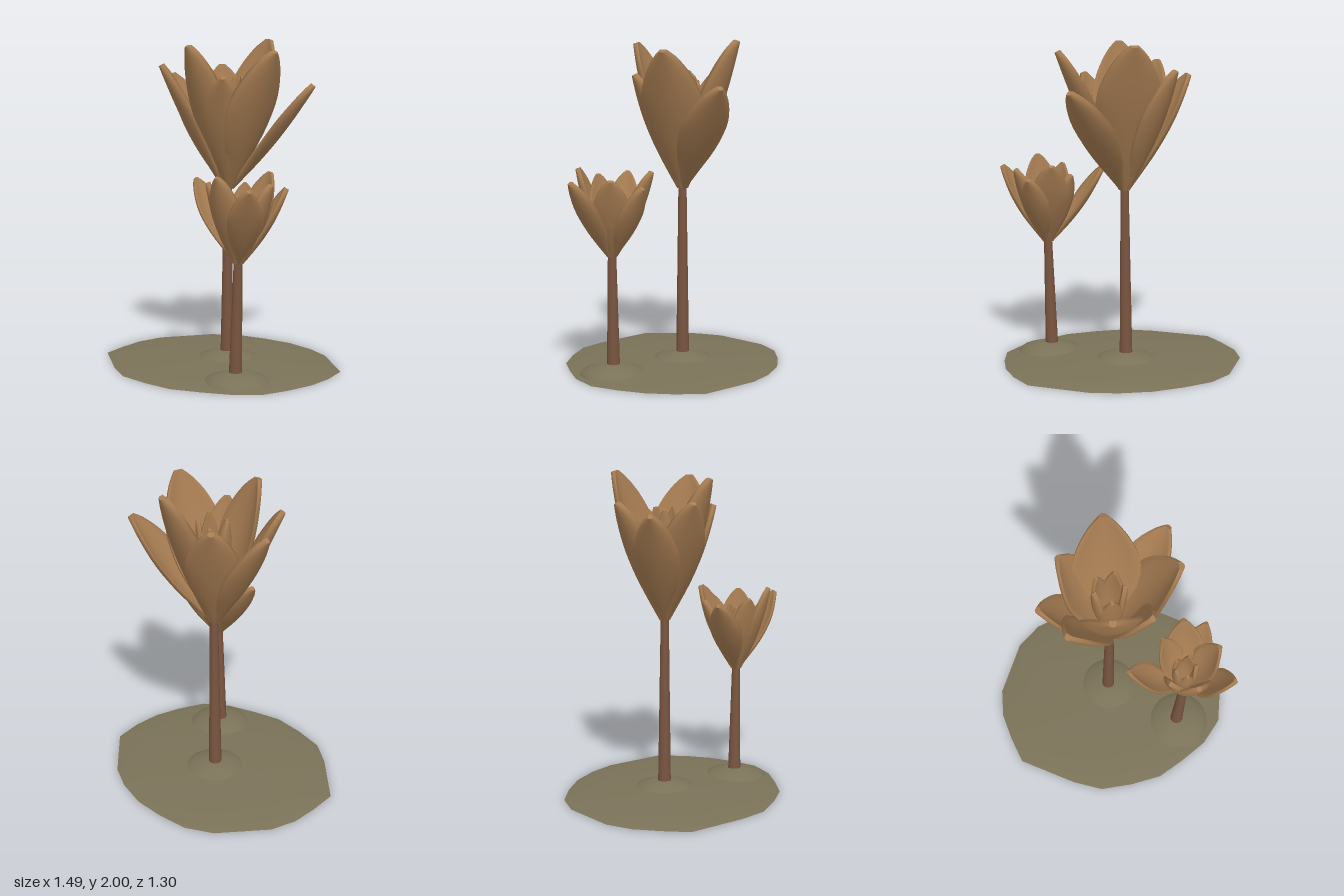
import * as THREE from 'three';

const petalMat = new THREE.MeshStandardMaterial({ name: 'petalTan', color: 0xa67c52 });
const stemMat = new THREE.MeshStandardMaterial({ name: 'stemBrown', color: 0x7a5540 });
const soilMat = new THREE.MeshStandardMaterial({ name: 'soilOlive', color: 0x7a7258 });
const V = (x, y, z) => new THREE.Vector3(x, y, z);

function add(parent, name, geometry, material) {
  const mesh = new THREE.Mesh(geometry, material);
  mesh.name = name;
  parent.add(mesh);
  return mesh;
}

// Skin a list of closed rings; each ring is an array of Vector3. A null leaves a crease.
function loft(rings) {
  const pos = [], index = [], n = rings[0].length;
  let prev = -1;
  for (const ring of rings) {
    if (!ring) { prev = -1; continue; }
    const cur = pos.length / 3;
    ring.forEach(p => pos.push(p.x, p.y, p.z));
    if (prev >= 0) for (let j = 0; j < n; j++) {
      const k = (j + 1) % n;
      index.push(prev + j, cur + j, prev + k, prev + k, cur + j, cur + k);
    }
    prev = cur;
  }
  const g = new THREE.BufferGeometry();
  g.setAttribute('position', new THREE.Float32BufferAttribute(pos, 3));
  g.setIndex(index);
  g.computeVertexNormals();
  return g;
}

// Half-width of a petal along its length
const widthCurve = new THREE.SplineCurve([[0, 0.1], [0.17, 0.42], [0.37, 0.82], [0.6, 1], [0.78, 0.8],
  [0.92, 0.45], [1, 0.12]].map(p => new THREE.Vector2(...p)));

// Thick cupped petal from base to tip, its back facing away from the flower's axis
function petalGeometry(base, tip, halfWidth, thick, cup) {
  const dir = tip.clone().sub(base), out = V(dir.x, 0, dir.z).normalize();
  const side = out.clone().cross(V(0, 1, 0));
  const normal = dir.clone().normalize().cross(side).normalize();
  const across = 8, steps = 18, rings = [];
  for (let i = 0; i <= steps; i++) {
    const p = widthCurve.getPoint(i / steps), t = p.x, w = p.y * halfWidth;
    const centre = base.clone().addScaledVector(dir, t).addScaledVector(normal, 0.025 * Math.sin(Math.PI * t));
    const ring = [];
    for (const layer of [1, -1]) for (let j = 0; j <= across; j++) {
      const s = layer * (2 * j / across - 1);
      const half = thick * 0.5 * (1 - 0.45 * s ** 4);
      ring.push(centre.clone().addScaledVector(side, s * w)
        .addScaledVector(normal, layer * half - cup * w * s * s));
    }
    rings.push(ring);
  }
  const collapse = ring => {
    const c = ring.reduce((a, p) => a.add(p), V(0, 0, 0)).divideScalar(ring.length);
    return ring.map(() => c);
  };
  const first = rings[0], last = rings[steps];
  return loft([collapse(first), first, null, ...rings, null, last, collapse(last)]);
}

// One flower: mound, stem, outer petals and a tight heart of narrow petals
function flower(spec) {
  const g = new THREE.Group();
  g.name = spec.name;
  g.position.set(spec.x, 0, spec.z);

  const mound = [[0.2, 0.008], [0.18, 0.033], [0.14, 0.046], [0.1, 0.059], [0.06, 0.068], [0, 0.07]];
  add(g, 'mound', new THREE.LatheGeometry(mound.map(p => new THREE.Vector2(...p)), 24), soilMat);

  const foot = V(-spec.lean, 0.03, 0), head = V(spec.lean, spec.base + 0.05, 0);
  const stem = add(g, 'stem', new THREE.CylinderGeometry(0.025, 0.041, foot.distanceTo(head), 12), stemMat);
  stem.position.copy(foot).add(head).multiplyScalar(0.5);
  stem.quaternion.setFromUnitVectors(V(0, 1, 0), head.clone().sub(foot).normalize());

  for (const [x, y, z, w] of spec.petals) {
    const base = V(x, 0, z).setLength(0.018).add(V(spec.lean, spec.base, 0));
    add(g, 'petal', petalGeometry(base, V(x, y, z), w, spec.thick, 0.35), petalMat);
  }
  for (let i = 0; i < 5; i++) {
    const a = i * Math.PI * 0.4 + 0.3, r = spec.heart;
    const base = V(Math.cos(a) * 0.01, spec.base + 0.03, Math.sin(a) * 0.01);
    const tip = V(Math.cos(a) * r, spec.heartTop - 0.03 * (i % 2), Math.sin(a) * r);
    add(g, 'innerPetal', petalGeometry(base, tip, r * 0.75, spec.thick * 0.8, 0.3), petalMat);
  }
  return g;
}

export function createModel() {
  const model = new THREE.Group();

  // Low, irregular patch of soil with a flat underside
  const outline = [[0, -0.655], [0.2, -0.63], [0.37, -0.57], [0.68, -0.345], [0.73, -0.17], [0.745, 0],
    [0.72, 0.17], [0.67, 0.34], [0.54, 0.47], [0.37, 0.56], [0.2, 0.635], [0, 0.65], [-0.2, 0.64],
    [-0.37, 0.555], [-0.68, 0.34], [-0.72, 0.17], [-0.745, 0], [-0.72, -0.17], [-0.54, -0.47],
    [-0.39, -0.58], [-0.2, -0.63]];
  const ring = (s, y) => outline.map(([x, z]) => V(x * s, y, z * s));
  add(model, 'soil', loft([ring(0, 0), ring(1, 0), null, ring(1, 0), ring(0.92, 0.012), ring(0.75, 0.022),
    ring(0.45, 0.033), ring(0, 0.036)]), soilMat);

  // Petal entries: tip offset x, tip height, tip offset z, half-width
  model.add(flower({
    name: 'tallFlower', x: 0, z: -0.06, base: 1.1, lean: 0.005, thick: 0.036, heart: 0.095, heartTop: 1.78,
    petals: [[0.04, 1.99, -0.34, 0.2], [0.42, 1.73, -0.31, 0.15], [0.41, 1.94, 0.03, 0.19],
      [0.2, 1.79, 0.25, 0.13], [-0.04, 1.97, 0.3, 0.18], [-0.29, 1.85, 0.28, 0.15],
      [-0.42, 1.78, 0.06, 0.14], [-0.25, 1.83, -0.21, 0.16]],
  }));
  model.add(flower({
    name: 'shortFlower', x: 0.4, z: 0.28, base: 0.73, lean: 0.01, thick: 0.03, heart: 0.065, heartTop: 1.13,
    petals: [[0.04, 1.24, -0.25, 0.12], [0.18, 1.16, -0.23, 0.09], [0.22, 1.2, -0.05, 0.11],
      [0.26, 1.19, 0.18, 0.1], [0.03, 1.25, 0.2, 0.11], [-0.12, 1.2, 0.12, 0.09],
      [-0.35, 1.19, -0.01, 0.1], [-0.1, 1.17, -0.18, 0.09]],
  }));
  return model;
}
